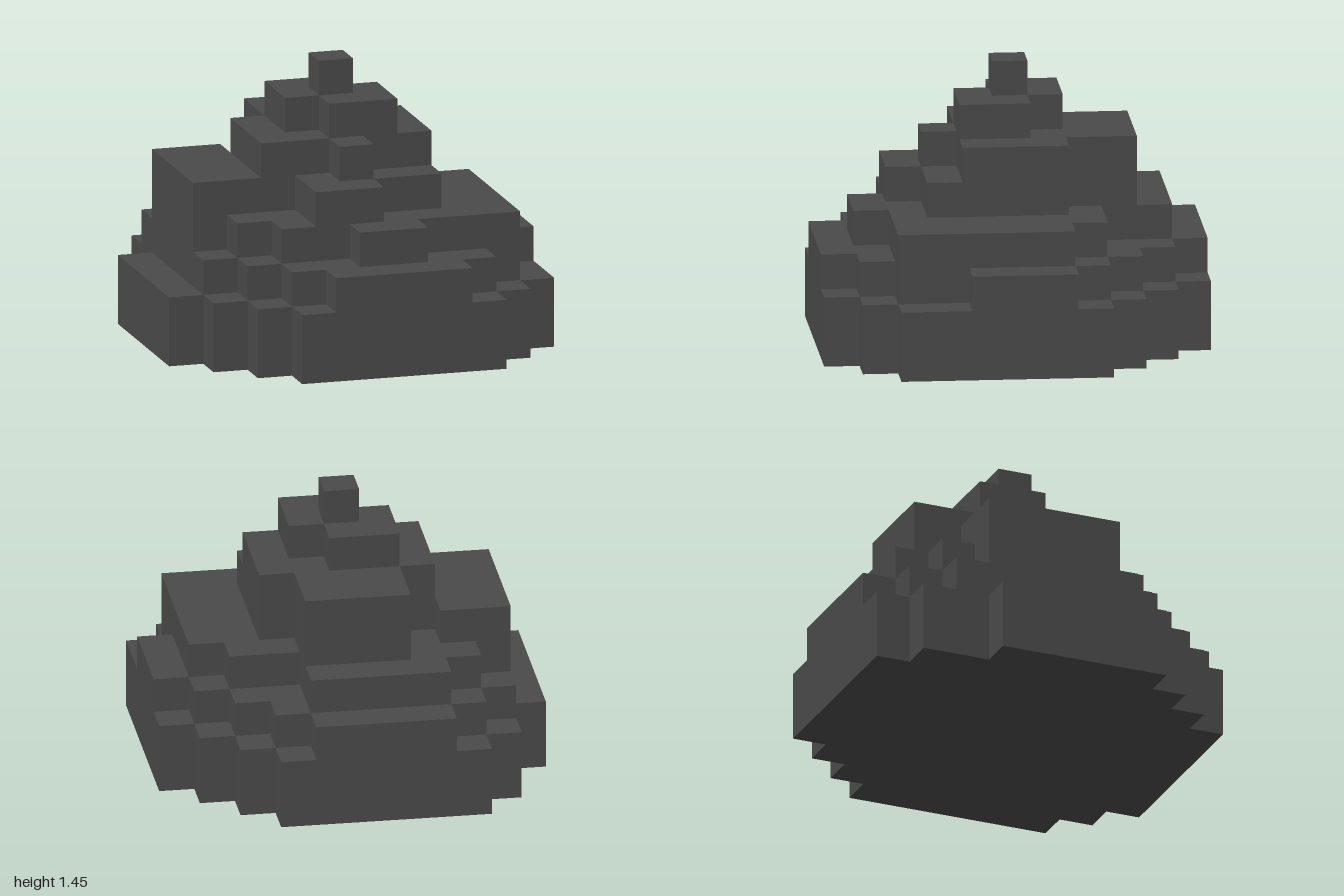
import * as THREE from 'three';

// Height of each block column: rows run back to front, characters run along +x
const HEIGHTS = [
  '..233332...',
  '.23444432..',
  '.344666332.',
  '25546664432',
  '25567766443',
  '25567876443',
  '25566776443',
  '23445655442',
  '.2345544442',
  '..23344332.',
  '...233332..',
];
const N = HEIGHTS.length;
const UNIT = 2 / N;
const heightAt = (c, r) => Number(HEIGHTS[r]?.[c]) || 0;

// Stepped tiers, each spanning the block levels [from, to]
const TIERS = [
  ['baseTier', 0, 2],
  ['lowerTier', 2, 3],
  ['lowerCoil', 3, 4],
  ['middleCoil', 4, 5],
  ['upperCoil', 5, 6],
  ['crown', 6, 7],
  ['tip', 7, 8],
];

// Outer faces of one tier: tops, exposed walls, and the underside of the base
function tierGeometry(from, to) {
  const positions = [];
  const quad = (a, b, c, d) => {
    for (const [x, y, z] of [a, b, c, a, c, d]) {
      positions.push((x - N / 2) * UNIT, y * UNIT, (z - N / 2) * UNIT);
    }
  };
  for (let r = 0; r < N; r++) {
    for (let c = 0; c < N; c++) {
      const h = heightAt(c, r);
      if (h < to) continue;
      const x0 = c, x1 = c + 1, z0 = r, z1 = r + 1;
      // Top and underside
      if (h === to) quad([x0, to, z1], [x1, to, z1], [x1, to, z0], [x0, to, z0]);
      if (from === 0) quad([x0, 0, z0], [x1, 0, z0], [x1, 0, z1], [x0, 0, z1]);
      // Walls facing a lower neighbour, corners listed left to right from outside
      const walls = [
        [0, 1, x0, z1, x1, z1],
        [1, 0, x1, z1, x1, z0],
        [0, -1, x1, z0, x0, z0],
        [-1, 0, x0, z0, x0, z1],
      ];
      for (const [dc, dr, ax, az, bx, bz] of walls) {
        if (heightAt(c + dc, r + dr) >= to) continue;
        quad([ax, from, az], [bx, from, bz], [bx, to, bz], [ax, to, az]);
      }
    }
  }
  const geometry = new THREE.BufferGeometry();
  geometry.setAttribute('position', new THREE.Float32BufferAttribute(positions, 3));
  geometry.computeVertexNormals();
  return geometry;
}

export function createModel() {
  const model = new THREE.Group();
  model.name = 'steppedMound';
  const charcoal = new THREE.MeshStandardMaterial({ color: 0x4a4a4a });
  charcoal.name = 'charcoal';

  for (const [name, from, to] of TIERS) {
    const tier = new THREE.Mesh(tierGeometry(from, to), charcoal);
    tier.name = name;
    model.add(tier);
  }
  return model;
}
